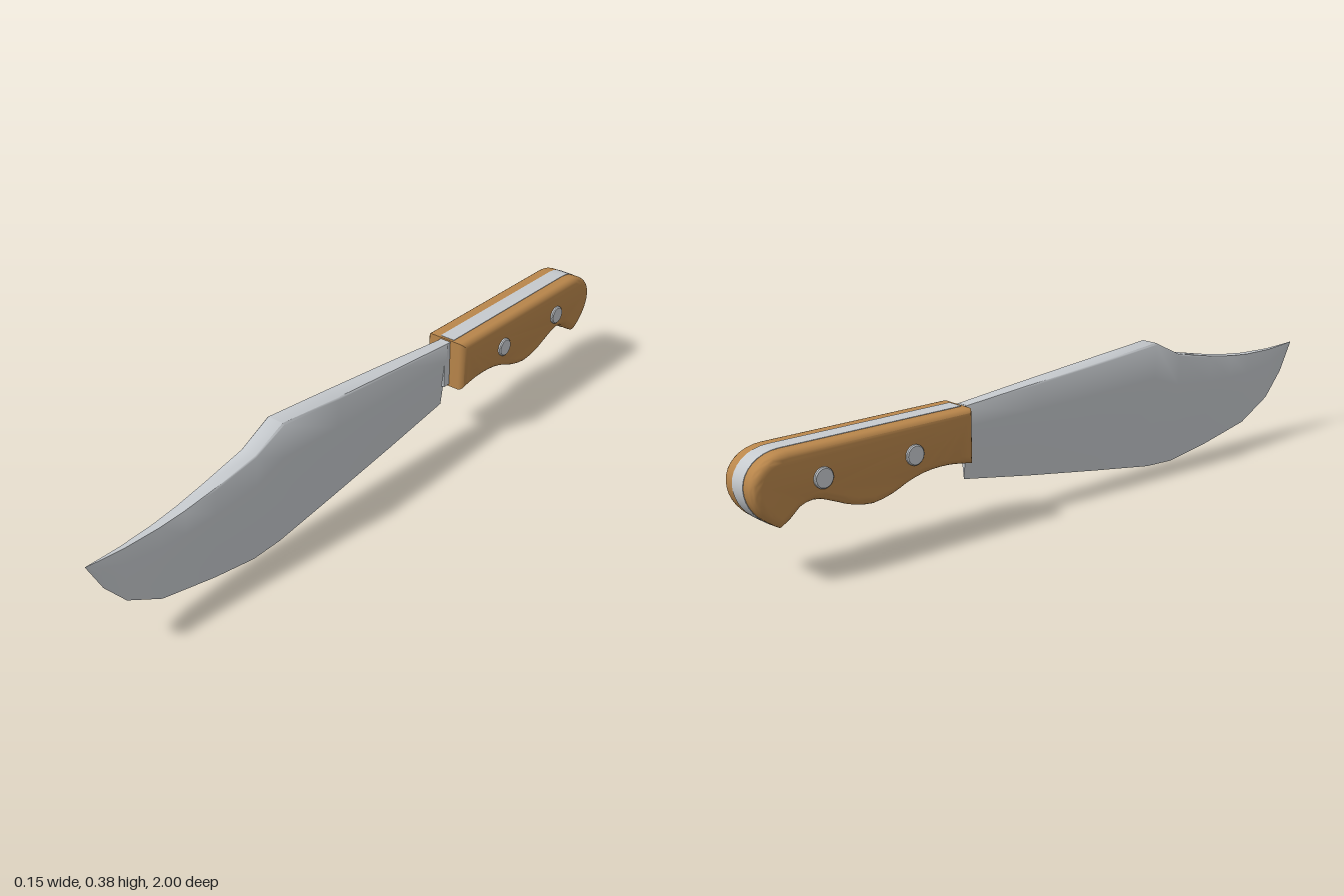
import * as THREE from 'three';
import { toCreasedNormals } from 'three/addons/utils/BufferGeometryUtils.js';

const steel = new THREE.MeshStandardMaterial({ color: 0xc6cace });
steel.name = 'steel';
const wood = new THREE.MeshStandardMaterial({ color: 0xb9864b });
wood.name = 'wood';

function add(group, name, geometry, material) {
  const mesh = new THREE.Mesh(geometry, material);
  mesh.name = name;
  group.add(mesh);
  return mesh;
}

// Blade stations: z, spine height, edge height, half thickness of the spine
const STATIONS = [
  [-0.33, 0.32, 0.117, 0.02], [-0.1, 0.34, 0.077, 0.026], [0.15, 0.361, 0.037, 0.03],
  [0.36, 0.38, 0.005, 0.029], [0.46, 0.331, 0.001, 0.027], [0.6, 0.302, 0.022, 0.023],
  [0.7, 0.286, 0.043, 0.018], [0.78, 0.278, 0.06, 0.014], [0.89, 0.275, 0.12, 0.008],
  [0.955, 0.278, 0.195, 0.004], [1, 0.281, 0.279, 0.0005],
];

// Wedge cross-section, widest just under the spine and closing to the edge
function section([z, top, bottom, w]) {
  const h = top - bottom;
  const side = [[0.85, 0], [1, Math.min(0.005, h * 0.1)], [0.86, h * 0.28], [0.56, h * 0.55], [0.27, h * 0.79]];
  return [
    ...side.map(([k, d]) => [k * w, top - d, z]),
    [0, bottom, z],
    ...side.slice().reverse().map(([k, d]) => [-k * w, top - d, z]),
  ];
}

function bladeGeometry() {
  const loops = STATIONS.map(section);
  const n = loops[0].length;
  const index = [];
  for (let i = 0; i < loops.length - 1; i++) {
    for (let j = 0; j < n; j++) {
      const a = i * n + j, b = i * n + (j + 1) % n;
      index.push(a, a + n, b, b, a + n, b + n);
    }
  }
  // End caps
  const last = (loops.length - 1) * n;
  for (let j = 1; j < n - 1; j++) {
    index.push(0, j, j + 1);
    index.push(last, last + j + 1, last + j);
  }
  const geometry = new THREE.BufferGeometry();
  geometry.setAttribute('position', new THREE.Float32BufferAttribute(loops.flat(2), 3));
  geometry.setIndex(index);
  return toCreasedNormals(geometry, 0.9);
}

// Handle side profile in (z, y), with finger grooves below
function handleShape(front) {
  const s = new THREE.Shape();
  s.moveTo(front, 0.324);
  s.lineTo(-0.9, 0.324);
  s.bezierCurveTo(-0.96, 0.324, -1, 0.288, -1, 0.245);
  s.bezierCurveTo(-1, 0.2, -0.965, 0.16, -0.925, 0.14);
  const grooves = new THREE.SplineCurve([[-0.925, 0.14], [-0.895, 0.158], [-0.865, 0.182], [-0.82, 0.188],
    [-0.765, 0.168], [-0.72, 0.15], [-0.66, 0.14], [-0.6, 0.152], [-0.55, 0.172], [-0.49, 0.186],
    [-0.43, 0.188], [-0.385, 0.183], [front, 0.176]].map(([z, y]) => new THREE.Vector2(z, y)));
  for (const p of grooves.getPoints(26).slice(1)) s.lineTo(p.x, p.y);
  s.closePath();
  return s;
}

// Extrude the handle profile across x, centred, with a rim bevel
function handleSlab(front, width, thickness, size, offset, segments) {
  const depth = width - 2 * thickness;
  const geometry = new THREE.ExtrudeGeometry(handleShape(front), {
    depth, curveSegments: 8, bevelEnabled: true,
    bevelThickness: thickness, bevelSize: size, bevelOffset: offset, bevelSegments: segments,
  });
  geometry.translate(0, 0, -depth / 2);
  geometry.rotateY(-Math.PI / 2);
  return toCreasedNormals(geometry, 0.75);
}

export function createModel() {
  const knife = new THREE.Group();
  knife.name = 'knife';

  add(knife, 'blade', bladeGeometry(), steel);

  // Short neck joining blade and handle
  const neck = add(knife, 'neck', new THREE.BoxGeometry(0.034, 0.137, 0.04), steel);
  neck.position.set(0, 0.251, -0.342);

  // Wooden grip with the full tang just proud of it as a centre band
  add(knife, 'grip', handleSlab(-0.346, 0.136, 0.02, 0.022, -0.022, 5), wood);
  add(knife, 'tang', handleSlab(-0.355, 0.048, 0.0005, 0.0012, 0, 1), steel);

  // Rivets through the grip, with softened rims
  const rivetProfile = [[0, -0.076], [0.024, -0.076], [0.027, -0.073], [0.027, 0.073], [0.024, 0.076], [0, 0.076]]
    .map(([r, y]) => new THREE.Vector2(r, y));
  for (const z of [-0.54, -0.81]) {
    const geometry = toCreasedNormals(new THREE.LatheGeometry(rivetProfile, 24), 0.6);
    const rivet = add(knife, 'rivet', geometry, steel);
    rivet.rotation.z = Math.PI / 2;
    rivet.position.set(0, 0.243, z);
  }
  return knife;
}
